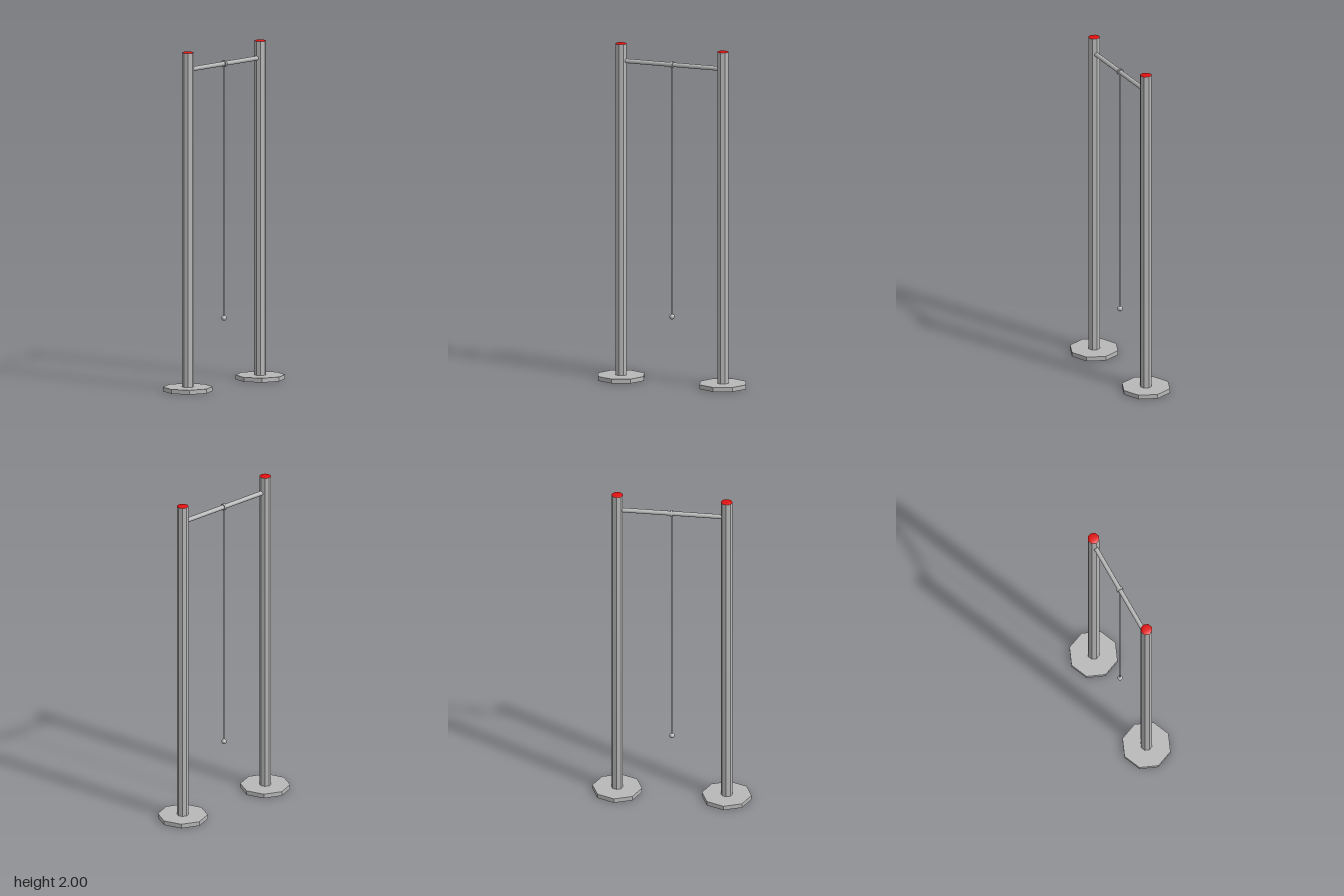
import * as THREE from 'three';

export function createModel() {
  const model = new THREE.Group();
  const grey = new THREE.MeshStandardMaterial({ color: 0xb8b8b8 });
  grey.name = 'greyMetal';
  const red = new THREE.MeshStandardMaterial({ color: 0xe01010 });
  red.name = 'redCap';

  const add = (name, geometry, material, x, y, parent = model) => {
    const mesh = new THREE.Mesh(geometry, material);
    mesh.name = name;
    mesh.position.set(x, y, 0);
    parent.add(mesh);
    return mesh;
  };

  // Flat facets for the low-sided pieces
  const faceted = (radius, height, sides, open = false) => {
    const g = new THREE.CylinderGeometry(radius, radius, height, sides, 1, open).toNonIndexed();
    g.computeVertexNormals();
    return g;
  };

  // Two octagonal posts on wide feet, with slightly domed red tops
  for (const [side, s] of [['left', 1], ['right', -1]]) {
    const stand = new THREE.Group();
    stand.name = side + 'Stand';
    stand.position.x = s * 0.322;
    add(side + 'Foot', faceted(0.146, 0.026, 8), grey, 0, 0.013, stand);
    add(side + 'Post', faceted(0.035, 1.974, 8, true), grey, 0, 1.007, stand);
    const dome = [[0.035, 0], [0.026, 0.004], [0.014, 0.006], [0, 0.006]];
    const cap = new THREE.LatheGeometry(dome.map(([r, y]) => new THREE.Vector2(r, y)), 8);
    add(side + 'Cap', cap, red, 0, 1.994, stand);
    model.add(stand);
  }

  // Crossbar between the posts
  const barY = 1.894;
  add('crossbar', new THREE.CylinderGeometry(0.0135, 0.0135, 0.62, 12), grey, 0, barY).rotation.z = Math.PI / 2;

  // Collar round the bar, with the hanging cord and its ball
  add('collar', new THREE.CylinderGeometry(0.02, 0.02, 0.014, 12), grey, 0.002, barY).rotation.z = Math.PI / 2;
  add('cord', new THREE.CylinderGeometry(0.004, 0.004, 1.48, 8), grey, 0, 1.14);
  add('ball', new THREE.SphereGeometry(0.016, 12, 8), grey, 0, 0.395);

  return model;
}
